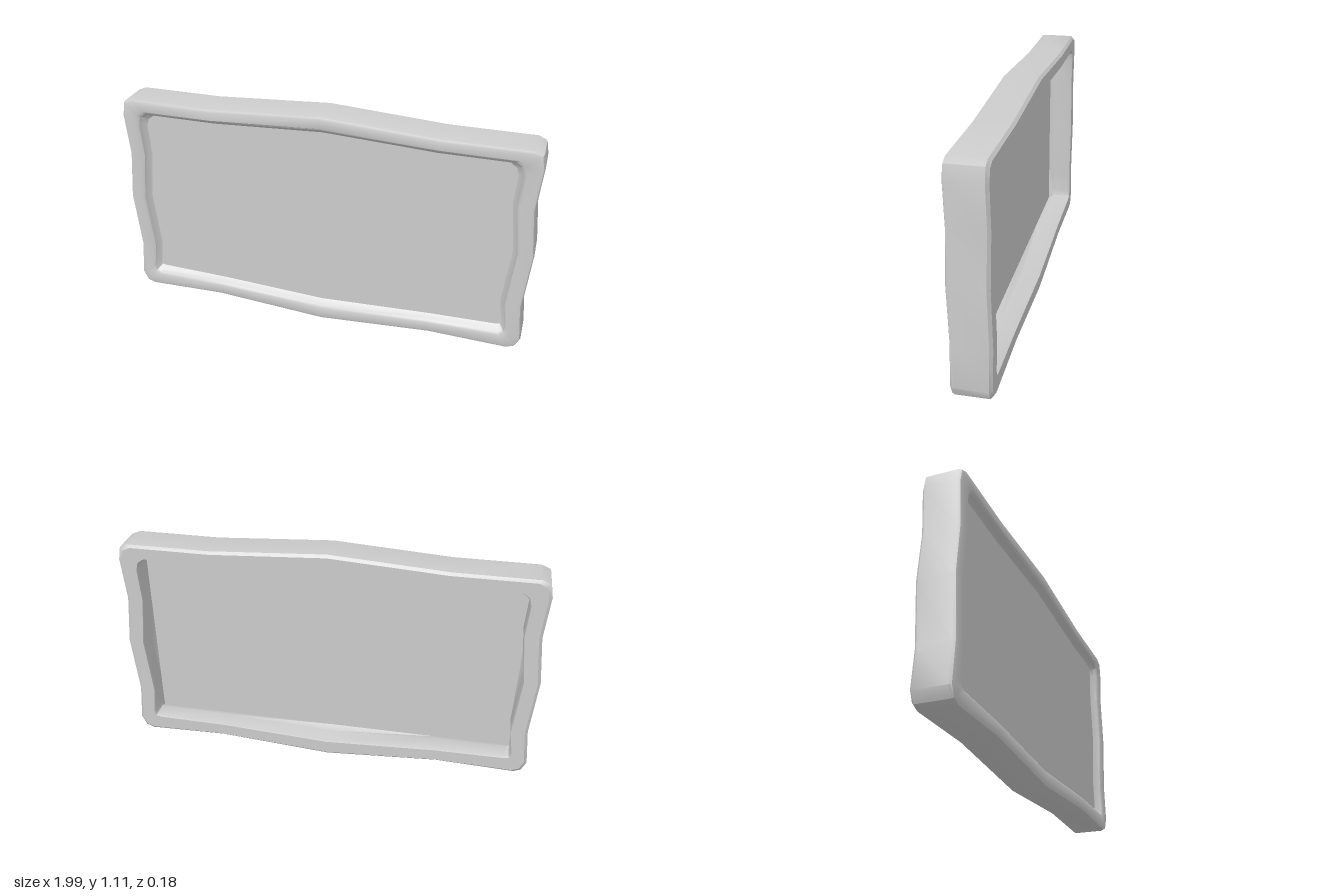
import * as THREE from 'three';
import { toCreasedNormals } from 'three/addons/utils/BufferGeometryUtils.js';

const MID_Y = 0.557;
const PANEL = { x: 0.903, top: 0.474, bottom: 0.457, back: 0.032, front: 0.052 };

// Quarter outlines, from the middle of the side to the middle of the top or bottom
const OUTER_TOP = [[0.997, 0], [0.973, 0.238], [0.99, 0.443], [0.978, 0.506], [0.94, 0.523], [0.55, 0.523], [0, 0.557]];
const OUTER_BOTTOM = [[0.997, 0], [0.973, 0.281], [0.99, 0.467], [0.967, 0.514], [0.932, 0.529], [0.55, 0.518], [0, 0.557]];
const INNER_TOP = [[0.9, 0], [0.873, 0.238], [0.882, 0.385], [0.872, 0.418], [0.843, 0.44], [0.53, 0.44], [0, 0.467]];
const INNER_BOTTOM = [[0.9, 0], [0.873, 0.281], [0.889, 0.4], [0.886, 0.418], [0.868, 0.422], [0.53, 0.431], [0, 0.457]];

// Straight-edged quarter that meets the rectangular panel
const recessQuarter = (h) => [
  ...[0, 0.25, 0.4, h].map((y) => [PANEL.x, y]),
  ...[0.86, 0.53, 0].map((x) => [x, h]),
];

// Mirror two quarters into a full counter-clockwise loop
function fullLoop(top, bottom) {
  const mirrorX = (q) => q.slice(0, -1).reverse().map(([x, y]) => [-x, y]);
  const upper = [...top, ...mirrorX(top)];
  const lower = [...bottom, ...mirrorX(bottom)].slice(1, -1).reverse().map(([x, y]) => [x, -y]);
  return [...upper, ...lower];
}

// Skin a list of closed rings
function loft(rings) {
  const n = rings[0].length;
  const index = [];
  for (let j = 0; j < rings.length - 1; j++) {
    for (let i = 0; i < n; i++) {
      const k = (i + 1) % n;
      const a = j * n + i, b = j * n + k, c = a + n, d = b + n;
      index.push(a, b, d, a, d, c);
    }
  }
  const geo = new THREE.BufferGeometry();
  geo.setAttribute('position', new THREE.Float32BufferAttribute(rings.flat(2), 3));
  geo.setIndex(index);
  return toCreasedNormals(geo, 0.6);
}

export function createModel() {
  const group = new THREE.Group();
  const material = new THREE.MeshStandardMaterial({ color: 0xcccccc });
  const add = (name, geometry, y, z) => {
    const mesh = new THREE.Mesh(geometry, material);
    mesh.name = name;
    mesh.position.set(0, y, z);
    group.add(mesh);
  };

  const outer = fullLoop(OUTER_TOP, OUTER_BOTTOM);
  const inner = fullLoop(INNER_TOP, INNER_BOTTOM);
  const recess = fullLoop(recessQuarter(PANEL.top), recessQuarter(PANEL.bottom));
  const ring = (t, z) => outer.map(([x, y], i) => [
    x + (inner[i][0] - x) * t, y + (inner[i][1] - y) * t, z,
  ]);

  // Wavy frame: back well, chamfered back rim, rounded front rim and sloping front lip
  const profile = [
    [0.83, 0], [0.82, -0.08], [0.78, -0.09], [0.14, -0.09], [0, -0.077],
    [0, 0.073], [0.05, 0.085], [0.17, 0.09], [0.64, 0.09], [0.76, 0.083], [0.83, 0.068], [1, PANEL.front],
  ];
  const rings = [recess.map(([x, y]) => [x, y, PANEL.back]), ...profile.map(([t, z]) => ring(t, z))];
  add('frame', loft(rings), MID_Y, 0);

  // Thin rectangular panel held behind the front lip
  const slab = new THREE.BoxGeometry(PANEL.x * 2, PANEL.top + PANEL.bottom, PANEL.front - PANEL.back);
  add('panel', slab, MID_Y + (PANEL.top - PANEL.bottom) / 2, (PANEL.front + PANEL.back) / 2);

  return group;
}
